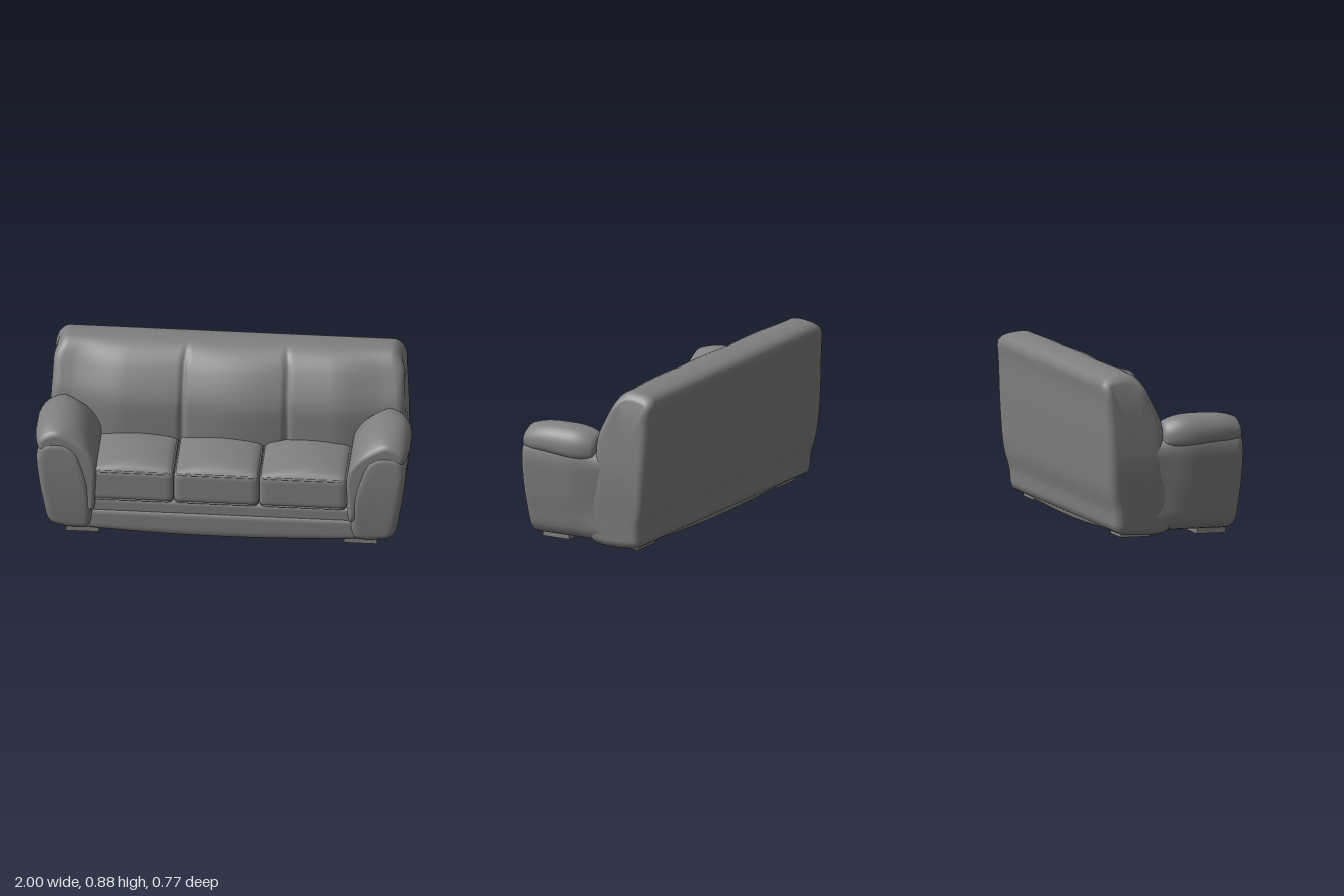
import * as THREE from 'three';
import { mergeVertices } from 'three/addons/utils/BufferGeometryUtils.js';
import { RoundedBoxGeometry } from 'three/addons/geometries/RoundedBoxGeometry.js';

const material = new THREE.MeshStandardMaterial({ color: 0x808080 });
const { smoothstep, clamp } = THREE.MathUtils;

function add(parent, name, geometry, x = 0, y = 0, z = 0) {
  const mesh = new THREE.Mesh(geometry, material);
  mesh.name = name;
  mesh.position.set(x, y, z);
  parent.add(mesh);
}

// Smooth closed outline through a few points, counter-clockwise
function outline(points, n) {
  const curve = new THREE.CatmullRomCurve3(points.map(([a, b]) => new THREE.Vector3(a, b, 0)), true, 'centripetal');
  const pts = curve.getSpacedPoints(n).slice(0, n).map(p => new THREE.Vector2(p.x, p.y));
  return THREE.ShapeUtils.isClockWise(pts) ? pts.reverse() : pts;
}

// Stations [position, inset, scale] from a to b: ends rounded with radius r,
// and cap rings that shrink towards the middle of the outline
function stations(a, b, r, mid, capScales) {
  const ends = capScales.map(s => [0, r, s]), out = [];
  for (let i = 0; i <= 6; i++) {
    const t = i / 6 * Math.PI / 2;
    ends.push([r * (1 - Math.cos(t)), r * (1 - Math.sin(t)), 1]);
  }
  for (const [d, inset, s] of ends) out.push([a + d, inset, s]);
  for (let i = 1; i < mid; i++) out.push([a + r + (b - a - 2 * r) * i / mid, 0, 1]);
  for (const [d, inset, s] of ends.reverse()) out.push([b - d, inset, s]);
  return out;
}

// Sweep an outline through the stations; place(u, v, t) gives the final point
function loft(profile, list, place) {
  const n = profile.length, pos = [], index = [];
  const mid = profile.reduce((m, p) => m.addScaledVector(p, 1 / n), new THREE.Vector2());
  for (const [t, inset, s] of list) {
    profile.forEach((p, i) => {
      const d = profile[(i + 1) % n].clone().sub(profile[(i + n - 1) % n]).normalize();
      const q = new THREE.Vector2(p.x - d.y * inset, p.y + d.x * inset).lerp(mid, 1 - s);
      pos.push(...place(q.x, q.y, t));
    });
  }
  for (let k = 0; k < list.length - 1; k++) {
    for (let i = 0; i < n; i++) {
      const a = k * n + i, b = k * n + (i + 1) % n;
      index.push(a, b, b + n, a, b + n, a + n);
    }
  }
  const last = (list.length - 1) * n;
  for (const [a, b, c] of THREE.ShapeUtils.triangulateShape(profile, [])) {
    index.push(a, c, b, last + a, last + b, last + c);
  }
  // Turn the faces outward when the placing rule mirrors the sweep
  const P = i => new THREE.Vector3().fromArray(pos, i * 3);
  let volume = 0;
  for (let i = 0; i < index.length; i += 3) volume += P(index[i]).dot(P(index[i + 1]).cross(P(index[i + 2])));
  if (volume < 0) index.reverse();
  const g = new THREE.BufferGeometry();
  g.setAttribute('position', new THREE.Float32BufferAttribute(pos, 3));
  g.setIndex(index);
  g.computeVertexNormals();
  return g;
}

// Soft box with rounded edges, a domed top and a sagging underside
function softBox(w, h, d, r, crown, sag) {
  let g = new THREE.BoxGeometry(w, h, d, 20, 14, 20);
  g.deleteAttribute('normal');
  g.deleteAttribute('uv');
  g = mergeVertices(g);
  const p = g.attributes.position, v = new THREE.Vector3(), core = new THREE.Vector3();
  for (let i = 0; i < p.count; i++) {
    v.fromBufferAttribute(p, i);
    const arch = 1 - (2 * v.x / w) ** 2;
    const lift = v.y > 0 ? crown * arch * (1 - (2 * v.z / d) ** 4) * 2 * v.y / h : sag * arch * 2 * v.y / h;
    core.set(clamp(v.x, r - w / 2, w / 2 - r), clamp(v.y, r - h / 2, h / 2 - r), clamp(v.z, r - d / 2, d / 2 - r));
    v.sub(core);
    if (v.length() > 0) v.setLength(Math.min(r, v.length()));
    v.add(core);
    p.setXYZ(i, v.x, v.y + lift, v.z);
  }
  g.computeVertexNormals();
  return g;
}

// Thin welt around a cushion
function pipingGeometry(w, d) {
  const a = w / 2, b = d / 2, c = 0.025;
  const pts = [[a - c, b], [a, b - c], [a, c - b], [a - c, -b], [c - a, -b], [-a, c - b], [-a, b - c], [c - a, b]];
  const path = new THREE.CatmullRomCurve3(pts.map(([x, z]) => new THREE.Vector3(x, 0, z)), true, 'catmullrom', 0.1);
  return new THREE.TubeGeometry(path, 80, 0.006, 6, true);
}

// Backrest: side outline (z, y) swept across the width, with two stitched seams
function backGeometry() {
  const side = outline([[-0.28, 0.03], [-0.305, 0.045], [-0.318, 0.15], [-0.343, 0.25], [-0.362, 0.5], [-0.375, 0.75],
    [-0.382, 0.845], [-0.36, 0.868], [-0.25, 0.888], [-0.19, 0.878], [-0.13, 0.835], [-0.06, 0.735],
    [-0.01, 0.625], [0, 0.5], [0, 0.3], [0, 0.06], [-0.03, 0.03]], 72);
  const seams = [-0.24, 0.32];
  return loft(side, stations(-0.95, 0.95, 0.045, 160, [0.02, 0.25, 0.5, 0.75]), (z, y, x) => {
    const width = 0.92 + 0.03 * smoothstep(y, 0, 0.45) - 0.012 * smoothstep(y, 0.45, 0.8) - 0.035 * smoothstep(y, 0.78, 0.89);
    const front = smoothstep(z, -0.27, -0.04) * smoothstep(y, 0.2, 0.4);
    const off = Math.abs(x - 0.04);
    const bulge = off < 0.28 ? 0.035 * Math.cos(off / 0.28 * Math.PI / 2)
      : 0.012 * Math.sin(Math.min(1, (off - 0.28) / 0.6) * Math.PI);
    const dent = seams.reduce((s, c) => s + 0.02 * Math.exp(-(((x - c) / 0.014) ** 2)), 0);
    const recede = 0.045 * smoothstep(Math.abs(x), 0.55, 0.85);
    return [x * width / 0.95, y, z + front * (bulge - dent - recede)];
  });
}

// Arm side: front outline (x, y) swept front to back, blending into the backrest
function armGeometry() {
  const front = outline([[0.71, 0.042], [0.87, 0.042], [0.92, 0.07], [0.952, 0.2], [0.975, 0.35], [0.985, 0.5],
    [0.96, 0.56], [0.86, 0.58], [0.78, 0.54], [0.73, 0.42], [0.70, 0.3], [0.69, 0.1]], 56);
  return loft(front, stations(-0.28, 0.368, 0.04, 20, [0.02, 0.3, 0.6, 0.85]), (x, y, z) => {
    const rear = smoothstep(-z, -0.12, 0.17);
    const swell = 0.034 * Math.sin(clamp(y / 0.6, 0, 1) * Math.PI * 0.7) - 0.014;
    return [x - 0.045 * rear * smoothstep(x, 0.72, 0.95) * smoothstep(y, 0, 0.3),
      y - 0.05 * rear * smoothstep(y, 0.4, 0.58), z + swell * smoothstep(z, 0.1, 0.35)];
  });
}

// Arm pad: curved band that rolls over the arm and runs down its inner edge
function padGeometry() {
  const band = outline([[0.685, 0.16], [0.672, 0.3], [0.67, 0.42], [0.69, 0.51], [0.74, 0.595], [0.80, 0.645], [0.88, 0.665],
    [0.95, 0.65], [0.99, 0.61], [1.0, 0.565], [0.99, 0.525], [0.93, 0.54], [0.86, 0.55], [0.79, 0.51],
    [0.75, 0.42], [0.73, 0.3], [0.71, 0.165]], 84);
  return loft(band, stations(-0.05, 0.378, 0.022, 24, []), (x, y, z) => {
    const u = (z - 0.165) / 0.213, e = Math.abs(u) ** 3;
    const outer = smoothstep(x, 0.75, 0.95), top = smoothstep(y, 0.54, 0.66);
    return [x - (x - 0.68) * (u < 0 ? 0.17 : 0.08) * e * outer + 0.04 * e * (1 - outer) * smoothstep(y, 0.45, 0.6),
      y - (u < 0 ? 0.04 : 0.035) * e * top - 0.022 * smoothstep(-z, -0.3, 0) * (1 - top) * outer, z];
  });
}

export function createModel() {
  const sofa = new THREE.Group();
  sofa.name = 'sofa';
  add(sofa, 'backrest', backGeometry());

  // Base with a sagging underside, and the ledge under the cushions
  add(sofa, 'base', softBox(1.6, 0.12, 0.645, 0.03, 0, 0.03), 0, 0.097, 0.025);
  add(sofa, 'seatLedge', new RoundedBoxGeometry(1.42, 0.1, 0.4, 4, 0.03), 0, 0.175, 0.138);

  // Seat cushions with piping
  const edges = [-0.70, -0.255, 0.2, 0.67];
  for (let i = 0; i < 3; i++) {
    const w = edges[i + 1] - edges[i], cushion = new THREE.Group();
    cushion.name = `seatCushion${i + 1}`;
    cushion.position.x = (edges[i] + edges[i + 1]) / 2;
    add(cushion, 'cushion', softBox(w, 0.19, 0.4, 0.03, 0.04, 0), 0, 0.312, 0.155);
    for (const y of [0.395, 0.225]) add(cushion, 'piping', pipingGeometry(w - 0.016, 0.385), 0, y, 0.155);
    sofa.add(cushion);
  }

  // Arms, pads and feet, mirrored left and right
  for (const s of [1, -1]) {
    const side = new THREE.Group();
    side.name = s > 0 ? 'leftSide' : 'rightSide';
    side.scale.x = s;
    add(side, 'arm', armGeometry());
    add(side, 'armPad', padGeometry());
    add(side, 'frontFoot', new THREE.BoxGeometry(0.175, 0.045, 0.16), 0.742, 0.028, 0.25);
    add(side, 'rearFoot', new THREE.BoxGeometry(0.175, 0.045, 0.16), 0.742, 0.026, -0.175);
    sofa.add(side);
  }
  return sofa;
}
